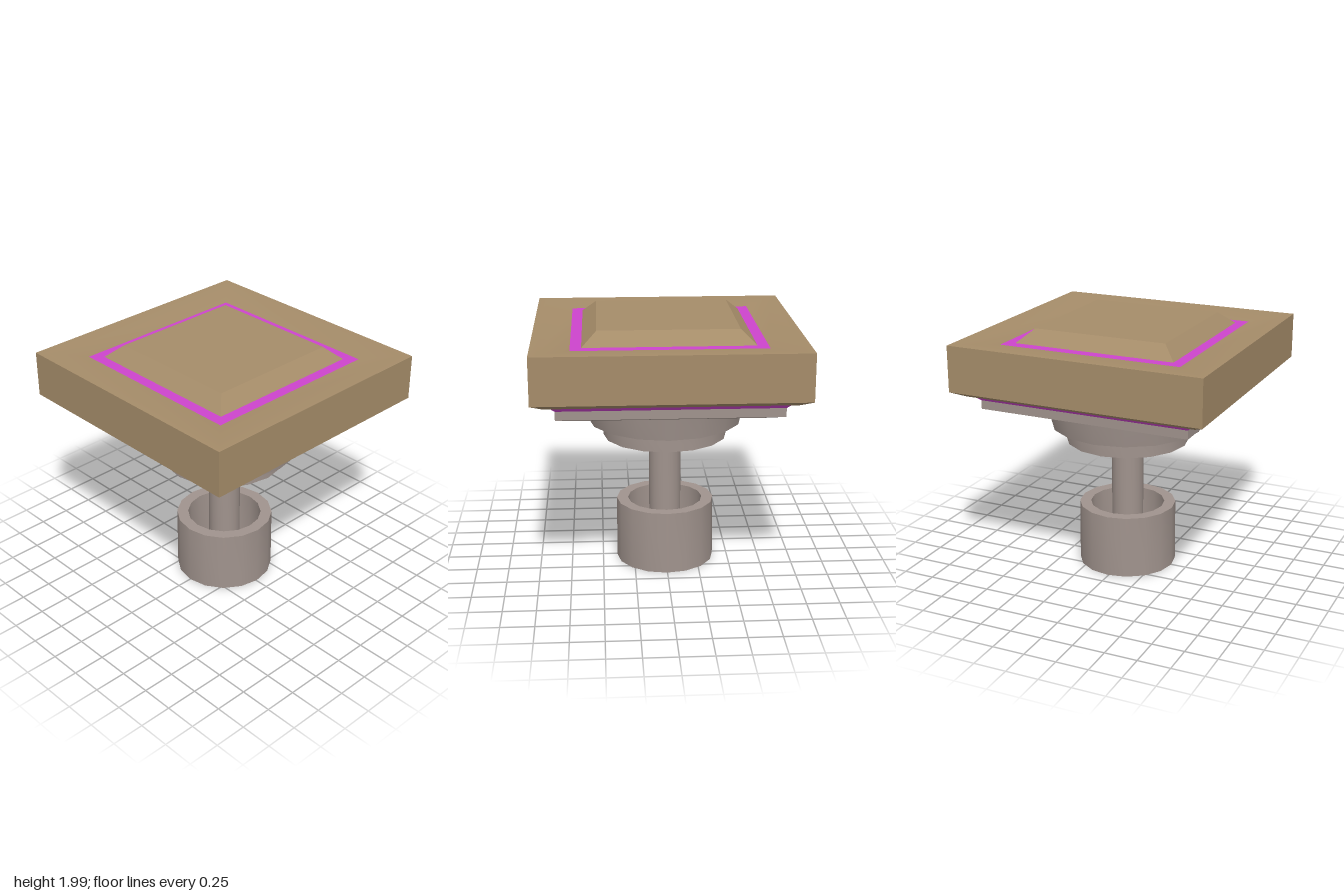
import * as THREE from 'three';
import { toCreasedNormals } from 'three/addons/utils/BufferGeometryUtils.js';

const TAN = 0xa58c69, MAGENTA = 0xcc44cc, TAUPE = 0xa0938d;

export function createModel() {
  const model = new THREE.Group();

  // Turn a [radius, height] profile (listed bottom to top along the outside) around y
  function turned(name, color, profile, sides, scale, phase) {
    const points = profile.map(([r, y]) => new THREE.Vector2(r * scale, y));
    const geometry = toCreasedNormals(new THREE.LatheGeometry(points, sides, phase), 0.42);
    const mesh = new THREE.Mesh(geometry, new THREE.MeshStandardMaterial({ color }));
    mesh.name = name;
    model.add(mesh);
    return mesh;
  }
  // Square parts are given by half width, round parts by radius
  const square = (name, color, profile) => turned(name, color, profile, 4, Math.SQRT2, Math.PI / 4);
  const round = (name, profile) => {
    turned(name, TAUPE, profile, 16, 1, 0).position.z = -0.01;
  };

  // Square head: frame with a dished rim, inlaid panel, bevelled cap
  square('frame', TAN, [[0.8, 1.515], [0.91, 1.515], [1, 1.56], [1, 1.915], [0.94, 1.915], [0.71, 1.884]]);
  square('inlay', MAGENTA, [[0, 1.472], [0.83, 1.472], [0.875, 1.515], [0.72, 1.885], [0, 1.885]]);
  square('cap', TAN, [[0.635, 1.886], [0.525, 1.985], [0, 1.985]]);
  square('basePlate', TAUPE, [[0, 1.36], [0.7, 1.36], [0.83, 1.405], [0.83, 1.474], [0, 1.474]]);

  // Round neck below the head
  round('collar', [[0, 1.165], [0.6, 1.165], [0.63, 1.36], [0, 1.36]]);
  round('lowerCollar', [[0, 1.035], [0.485, 1.035], [0.485, 1.17], [0, 1.17]]);
  round('stem', [[0, 0.06], [0.125, 0.06], [0.125, 1.04], [0, 1.04]]);

  // Open cup around the foot of the stem
  round('cup', [[0, 0], [0.386, 0], [0.384, 0.495], [0.295, 0.495], [0.295, 0.08], [0, 0.08]]);

  return model;
}
